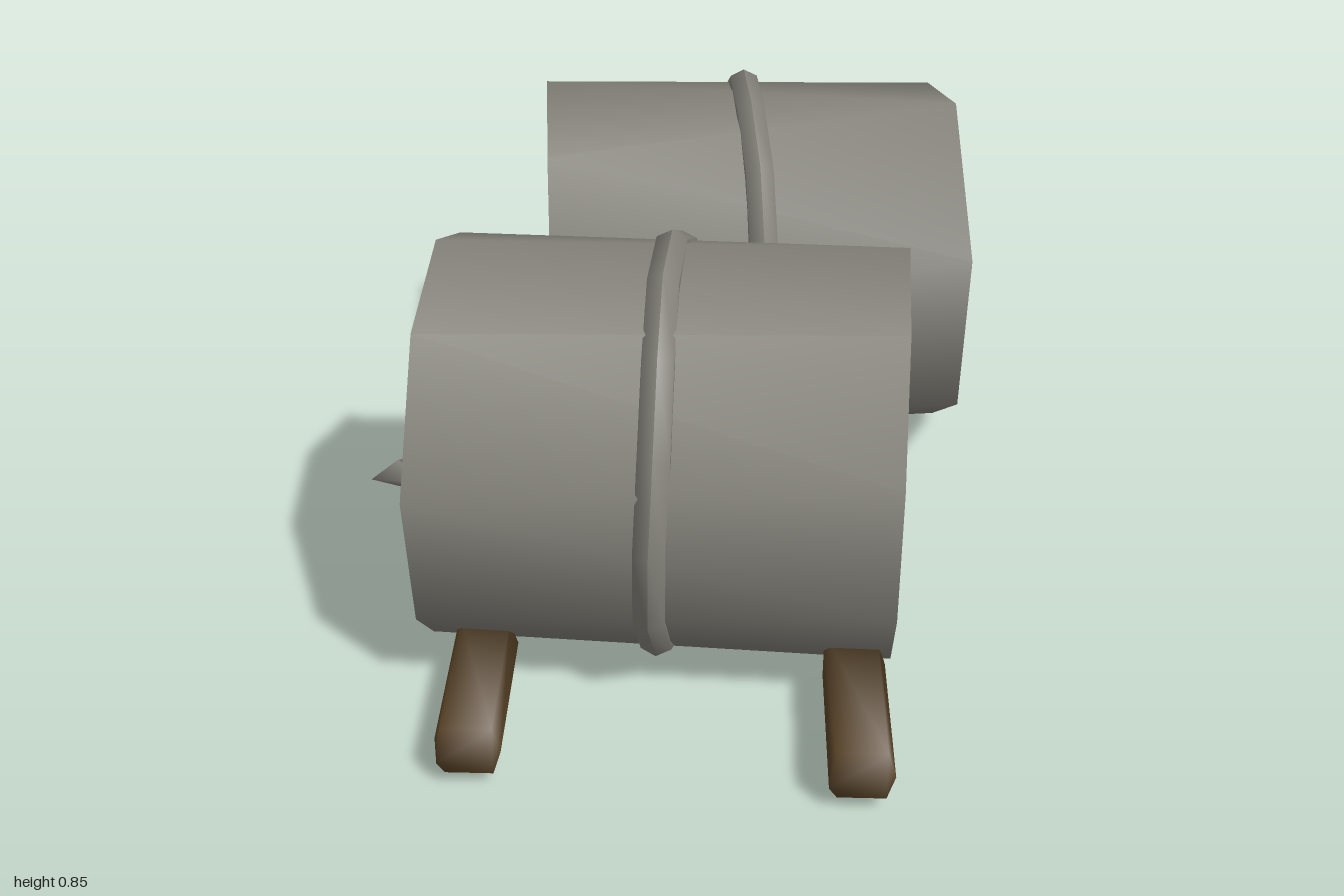
import * as THREE from 'three';
import { toCreasedNormals } from 'three/addons/utils/BufferGeometryUtils.js';

const concrete = new THREE.MeshStandardMaterial({ color: 0x84827a });
concrete.name = 'concrete grey';
const wood = new THREE.MeshStandardMaterial({ color: 0x5a4428 });
wood.name = 'dark wood';

function add(parent, name, geometry, material) {
  const mesh = new THREE.Mesh(geometry, material);
  mesh.name = name;
  parent.add(mesh);
  return mesh;
}

// Smooth wall along x between two rings of corner angles (degrees from +z up to +y)
function wall(start, end, radius, length, inward) {
  const n = start.length, pos = [], normal = [], index = [];
  const s = inward ? -1 : 1;
  [start, end].forEach((angles, e) => angles.forEach((deg) => {
    const a = THREE.MathUtils.degToRad(deg);
    pos.push((e - 0.5) * length, Math.sin(a) * radius, Math.cos(a) * radius);
    normal.push(0, s * Math.sin(a), s * Math.cos(a));
  }));
  for (let i = 0; i < n; i++) {
    const j = (i + 1) % n;
    if (inward) index.push(i, j, n + i, j, n + j, n + i);
    else index.push(i, n + i, j, j, n + i, n + j);
  }
  const geo = new THREE.BufferGeometry();
  geo.setAttribute('position', new THREE.Float32BufferAttribute(pos, 3));
  geo.setAttribute('normal', new THREE.Float32BufferAttribute(normal, 3));
  geo.setIndex(index);
  return geo;
}

// Flat rim closing the pipe wall at one end; side is -1 or 1
function rim(outer, inner, outerRadius, innerRadius, length, side) {
  const points = (angles, r) => angles.map((deg) => {
    const a = THREE.MathUtils.degToRad(deg);
    return new THREE.Vector2(-side * Math.cos(a) * r, Math.sin(a) * r);
  });
  const shape = new THREE.Shape(points(outer, outerRadius));
  shape.holes.push(new THREE.Path(points(inner, innerRadius)));
  return new THREE.ShapeGeometry(shape).rotateY(side * Math.PI / 2)
    .translate(side * length / 2, 0, 0);
}

// Irregular hollow pipe along x, with a raised band round its middle
function makePipe(name, { length, radius, bore, outer, inner, bandRadius }) {
  const group = new THREE.Group();
  group.name = name;
  add(group, 'outerWall', wall(outer[0], outer[1], radius, length, false), concrete);
  add(group, 'innerWall', wall(inner[0], inner[1], bore, length, true), concrete);
  [-1, 1].forEach((side, i) =>
    add(group, 'rim', rim(outer[i], inner[i], radius, bore, length, side), concrete));

  // Band with a slightly uneven path
  const band = new THREE.TorusGeometry(bandRadius, 0.029, 6, 14);
  band.rotateY(Math.PI / 2).scale(1.2, 1, 1);
  const p = band.attributes.position;
  for (let i = 0; i < p.count; i++) {
    const a = Math.atan2(p.getY(i), p.getZ(i));
    p.setX(i, p.getX(i) + 0.005 * Math.sin(3 * a));
  }
  band.computeVertexNormals();
  add(group, 'band', band, concrete);
  return group;
}

// Bevelled wooden chock lying along z
function makeChock(x, y, z, yaw, pitch) {
  const outline = [[-0.06, -0.03], [-0.045, -0.05], [0.045, -0.05], [0.06, 0],
    [0.045, 0.05], [-0.05, 0.05], [-0.06, 0.03]];
  const shape = new THREE.Shape(outline.map(([a, b]) => new THREE.Vector2(a, b)));
  const geo = new THREE.ExtrudeGeometry(shape, { depth: 0.33, bevelEnabled: false });
  geo.translate(0, 0, -0.165);
  const mesh = new THREE.Mesh(toCreasedNormals(geo, 1.6), wood);
  mesh.position.set(x, y, z);
  mesh.rotation.set(pitch, yaw, 0);
  return mesh;
}

export function createModel() {
  const model = new THREE.Group();
  model.name = 'concretePipes';

  // Pipes: corner angles are given for the -x end, then the +x end
  const frontBore = [24, 82, 127, 180, 233, 283, 334];
  const front = makePipe('frontPipe', {
    length: 0.91, radius: 0.407, bore: 0.342, bandRadius: 0.398,
    outer: [
      [11, 56, 94, 130, 172, 218, 266, 300, 327],
      [21, 62, 105, 147, 182, 223, 266, 302, 341],
    ],
    inner: [frontBore, frontBore],
  });
  front.position.set(0.055, 0.435, 0.42);

  const backCorners = [
    [-1, 58, 109, 162, 214, 258, 310],
    [22, 78, 129, 187, 235, 281, 327],
  ];
  const back = makePipe('backPipe', {
    length: 0.915, radius: 0.412, bore: 0.335, bandRadius: 0.406,
    outer: backCorners, inner: backCorners,
  });
  back.position.set(0.156, 0.437, -0.435);
  back.rotation.y = 0.145;
  model.add(front, back);

  // Chocks
  [
    ['frontRightChock', -0.273, 0.092, 0.825, 0.06, 0],
    ['frontLeftChock', 0.449, 0.092, 0.825, 0.06, 0],
    ['backRightChock', -0.212, 0.092, -0.83, 0.06, -0.03],
    ['backLeftChock', 0.513, 0.092, -0.825, 0, 0],
  ].forEach(([name, ...pose]) => {
    const chock = makeChock(...pose);
    chock.name = name;
    model.add(chock);
  });

  // Rubble: x, y, z, half sizes, sides, turn
  [
    [-0.603, 0.065, 0.02, 0.064, 0.035, 0.064, 3, -Math.PI / 2],
    [-0.425, 0.065, 0.153, 0.07, 0.035, 0.075, 6, 0.4],
    [-0.225, 0.06, 0.3, 0.09, 0.05, 0.09, 6, 0.2],
  ].forEach(([x, y, z, sx, sy, sz, sides, turn], i) => {
    const stone = add(model, 'rubble' + (i + 1), new THREE.SphereGeometry(1, sides, 2), concrete);
    stone.position.set(x, y, z);
    stone.scale.set(sx, sy, sz);
    stone.rotation.y = turn;
  });
  return model;
}
